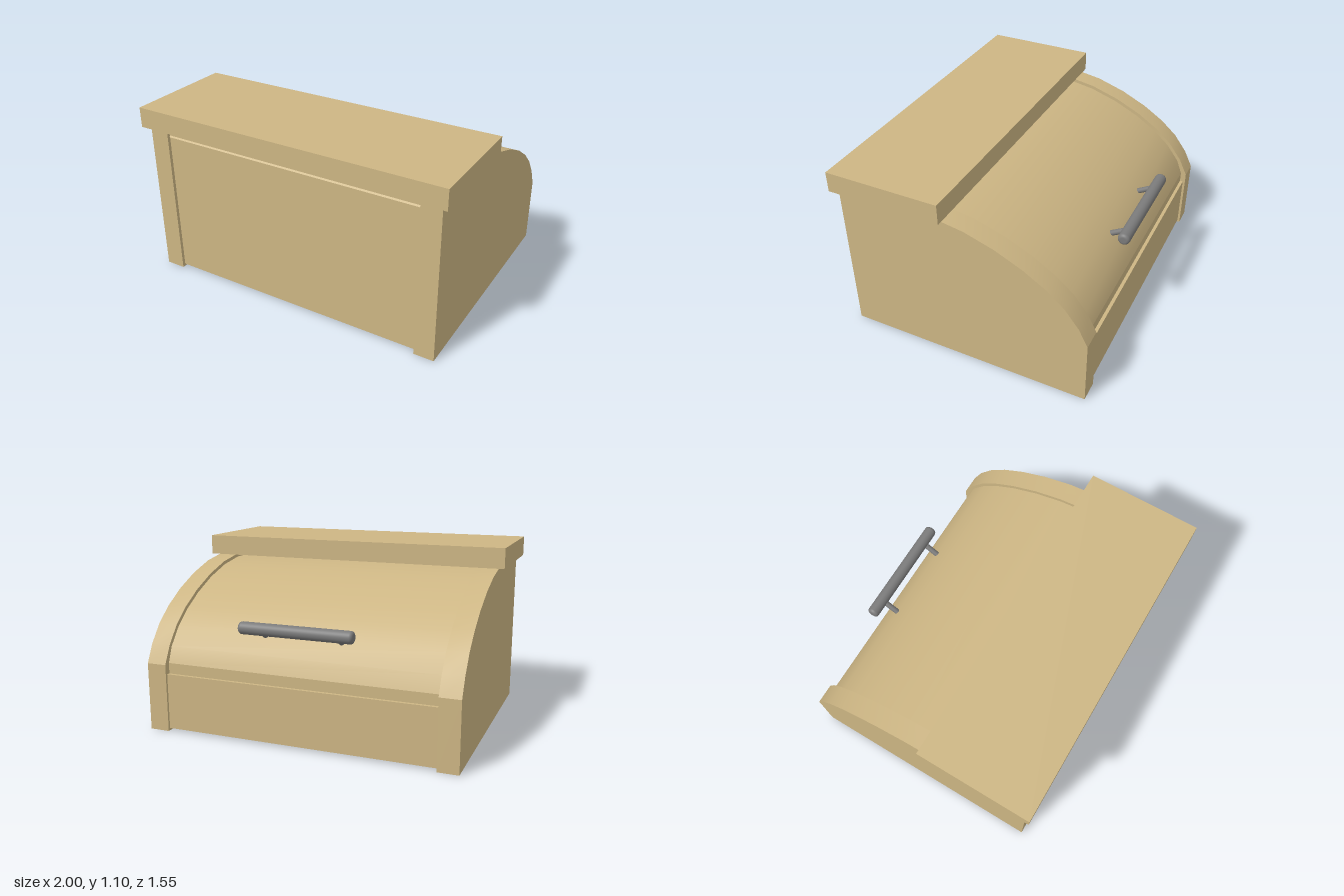
import * as THREE from 'three';
import { toCreasedNormals } from 'three/addons/utils/BufferGeometryUtils.js';

export function createModel() {
  const group = new THREE.Group();
  const wood = new THREE.MeshStandardMaterial({ color: 0xcdb684 });
  wood.name = 'wood';
  const metal = new THREE.MeshStandardMaterial({ color: 0x7b7b7b });
  metal.name = 'metal';

  const add = (name, geometry, material, x = 0, y = 0, z = 0) => {
    const mesh = new THREE.Mesh(geometry, material);
    mesh.name = name;
    mesh.position.set(x, y, z);
    group.add(mesh);
    return mesh;
  };
  // box given by its limits
  const box = (name, x0, x1, y0, y1, z0, z1) =>
    add(name, new THREE.BoxGeometry(x1 - x0, y1 - y0, z1 - z0), wood,
      (x0 + x1) / 2, (y0 + y1) / 2, (z0 + z1) / 2);
  // profile of [-z, y] points extruded along x
  const slab = (points, x0, x1) => {
    const shape = new THREE.Shape(points.map(p => new THREE.Vector2(...p)));
    const g = new THREE.ExtrudeGeometry(shape, { depth: x1 - x0, bevelEnabled: false });
    g.rotateY(Math.PI / 2).translate(x0, 0, 0);
    return toCreasedNormals(g, 0.37);
  };

  // side panels with a curved edge
  const curve = [[0.775, 0.415], [0.72, 0.525], [0.635, 0.635], [0.53, 0.725],
    [0.395, 0.81], [0.23, 0.887], [0.05, 0.945], [-0.135, 0.975]];
  const sideProfile = [[-0.742, 0], [0.775, 0], ...curve, [-0.742, 0.975]];
  add('leftSidePanel', slab(sideProfile, 0.836, 0.96), wood);
  add('rightSidePanel', slab(sideProfile, -0.96, -0.836), wood);

  // curved lid, set slightly inside the side panels
  const outer = [[0.74, 0.345], [0.74, 0.42], [0.702, 0.515], [0.62, 0.62], [0.518, 0.708],
    [0.385, 0.792], [0.223, 0.868], [0.046, 0.925], [-0.135, 0.955], [-0.7, 0.957]];
  const inner = outer.map(([u, y]) => [u - 0.03, y - 0.03]).reverse();
  add('curvedLid', slab([...outer, ...inner], -0.834, 0.834), wood);

  // boards
  box('topBoard', -1, 1, 0.975, 1.1, 0.075, 0.778);
  box('backBoard', -0.836, 0.836, 0.015, 0.975, 0.69, 0.722);
  box('floorBoard', -0.836, 0.836, 0.015, 0.05, -0.74, 0.7);
  box('lowerFrontBoard', -0.836, 0.836, 0.015, 0.355, -0.76, -0.715);

  // handle bar with rounded ends
  const half = 0.35, r = 0.037, b = 0.02;
  const profile = [new THREE.Vector2(0, -half)];
  for (const s of [-1, 1]) {
    for (let i = 0; i <= 5; i++) {
      const a = (s < 0 ? i : 5 - i) / 5 * Math.PI / 2;
      profile.push(new THREE.Vector2(r - b + b * Math.sin(a), s * (half - b + b * Math.cos(a))));
    }
  }
  profile.push(new THREE.Vector2(0, half));
  add('handleBar', new THREE.LatheGeometry(profile, 32), metal, 0, 0.677, -0.728)
    .rotation.z = Math.PI / 2;

  // handle posts
  const from = new THREE.Vector3(0, 0.61, -0.61), to = new THREE.Vector3(0, 0.677, -0.728);
  const dir = to.clone().sub(from);
  for (const x of [-0.237, 0.237]) {
    const post = add('handlePost', new THREE.CylinderGeometry(0.017, 0.017, dir.length(), 20), metal,
      x, (from.y + to.y) / 2, (from.z + to.z) / 2);
    post.quaternion.setFromUnitVectors(new THREE.Vector3(0, 1, 0), dir.clone().normalize());
  }
  return group;
}
